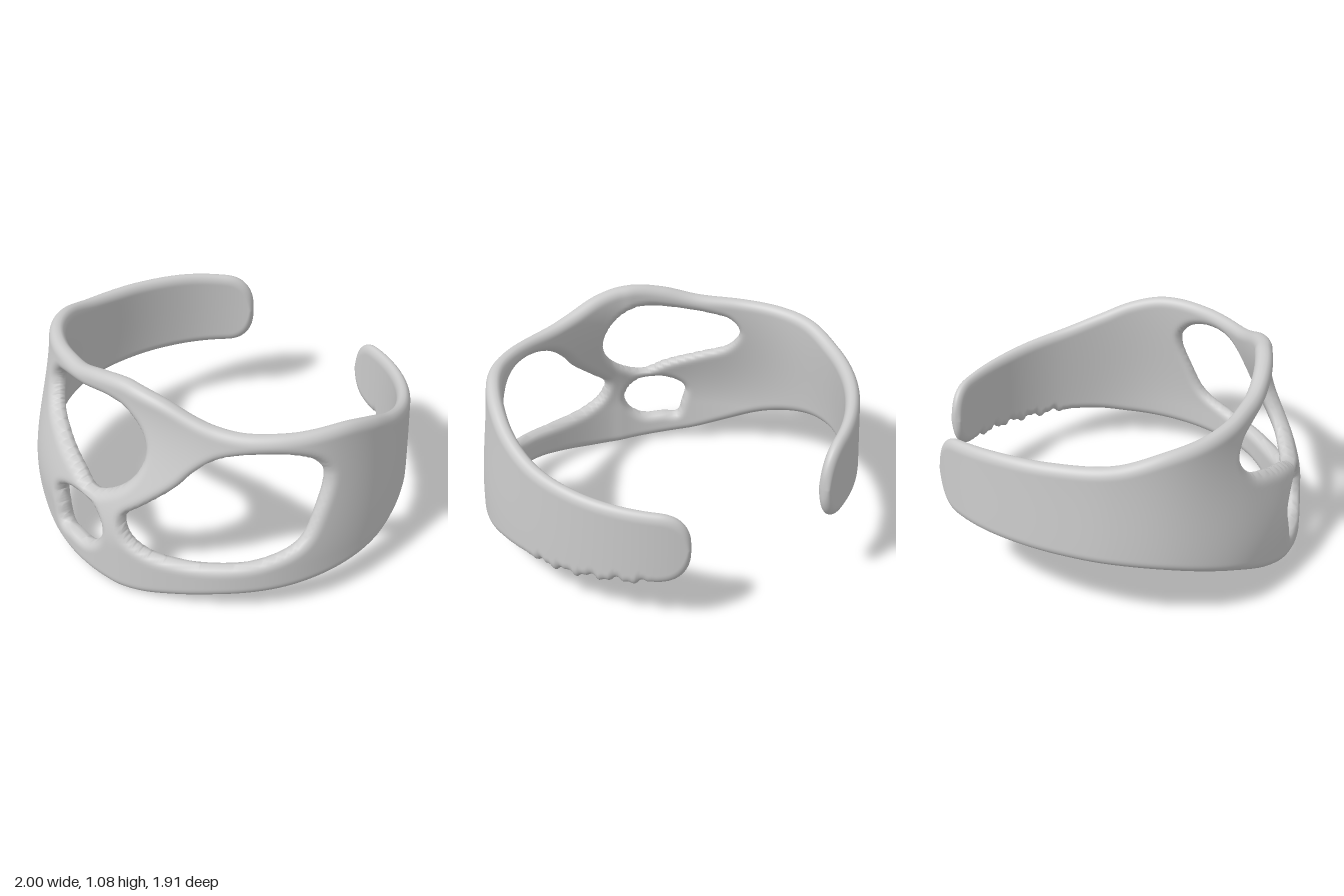
import * as THREE from 'three';
import { mergeVertices } from 'three/addons/utils/BufferGeometryUtils.js';

const RAD = Math.PI / 180;
const NU = 380, NV = 68;      // grid around the band and up the band
const A0 = -152, A1 = 166;    // tip angles in degrees, 0 is the front, + towards +x
const ARC = 0.95 * RAD;       // approximate arc length of one degree

// Smooth interpolation through [x, y] pairs
function curve(pts) {
  const n = pts.length;
  const slope = (i) => {
    const a = pts[Math.max(i - 1, 0)], b = pts[Math.min(i + 1, n - 1)];
    return (b[1] - a[1]) / (b[0] - a[0]);
  };
  return (x) => {
    let i = 0;
    while (i < n - 2 && x > pts[i + 1][0]) i++;
    const [x0, y0] = pts[i], [x1, y1] = pts[i + 1], w = x1 - x0;
    const t = THREE.MathUtils.clamp((x - x0) / w, 0, 1), t2 = t * t, t3 = t2 * t;
    return (2 * t3 - 3 * t2 + 1) * y0 + (t3 - 2 * t2 + t) * w * slope(i)
      + (3 * t2 - 2 * t3) * y1 + (t3 - t2) * w * slope(i + 1);
  };
}

// Outer radius, inward lean of the upper edge, and half thickness by angle
const radius = curve([[-152, 1.02], [-135, 1.0], [-120, 0.985], [-105, 0.985], [-90, 1.0], [-73, 1.01],
  [-57, 1.0], [-31, 0.96], [0, 0.95], [6, 0.955], [25, 0.957], [45, 0.985], [63, 1.0], [85, 1.003],
  [108, 0.987], [120, 0.985], [142, 0.985], [166, 0.99]]);
const lean = curve([[-152, 0], [-120, 0.02], [-90, 0.045], [-70, 0.07], [-50, 0.125], [-35, 0.16], [0, 0.19],
  [35, 0.16], [50, 0.12], [70, 0.065], [90, 0.04], [120, 0.01], [166, 0]]);
const half = curve([[-152, 0.033], [-90, 0.042], [0, 0.046], [90, 0.04], [166, 0.03]]);

// Upper and lower edges of the band
const upper = curve([[-152, 0.8], [-130, 0.85], [-110, 0.87], [-90, 0.89], [-75, 0.945], [-63, 0.965], [-46, 0.98],
  [-30, 1.0], [-15, 1.052], [0, 1.08], [15, 1.052], [30, 0.98], [37, 0.953], [46, 0.937], [60, 0.937], [78, 0.935],
  [90, 0.885], [101, 0.81], [114, 0.74], [128, 0.7], [143, 0.67], [166, 0.64]]);
const lower = curve([[-152, 0.4], [-120, 0.4], [-100, 0.39], [-85, 0.37], [-72, 0.33], [-55, 0.24], [-38, 0.12],
  [-25, 0.05], [0, 0], [12, 0.008], [25, 0.045], [39, 0.085], [60, 0.112], [90, 0.16], [101, 0.19], [114, 0.213],
  [128, 0.225], [143, 0.25], [166, 0.28]]);

// Edges with rounded tips and a slightly rough lower edge near the left tip
function edges(a) {
  let top = upper(a), bot = lower(a);
  const rough = THREE.MathUtils.smoothstep(a, 110, 120) * (1 - THREE.MathUtils.smoothstep(a, 150, 158));
  bot += rough * 0.012 * (Math.sin(a * 0.75) + 0.6 * Math.sin(a * 1.7 + 1));
  const t = Math.max(0, 1 - Math.min(a - A0, A1 - a) * ARC / 0.16);
  const pinch = Math.pow(Math.max(0, 1 - Math.pow(t, 2.5)), 0.4);
  const mid = (top + bot) / 2, h = (top - bot) / 2 * pinch;
  return [mid - h, mid + h];
}

// Openings as closed smooth outlines of [angle, height]
const holes = [
  [[-47, 0.78], [-44, 0.85], [-38, 0.88], [-22.5, 0.92], [-7.5, 0.95], [1.5, 0.93], [9, 0.85], [11.5, 0.75],
    [8, 0.62], [0, 0.52], [-8, 0.48], [-16, 0.53], [-30.5, 0.6], [-42, 0.67]],
  [[-24, 0.34], [-20.5, 0.39], [-12.4, 0.42], [-5, 0.4], [-1, 0.31], [-2.5, 0.23], [-8, 0.165], [-15.5, 0.165],
    [-21, 0.165], [-23, 0.25]],
  [[71, 0.7], [67, 0.5], [62, 0.36], [51, 0.285], [40, 0.26], [25, 0.25], [15, 0.27], [8.5, 0.33], [7, 0.42],
    [13, 0.5], [24, 0.63], [30, 0.72], [38, 0.8], [49, 0.84], [61, 0.83], [68, 0.78]],
].map((pts) => new THREE.CatmullRomCurve3(
  pts.map(([a, y]) => new THREE.Vector3(a * ARC, y, 0)), true).getPoints(72));

// Signed distance to an outline, positive outside it
function outlineDistance(poly, x, y) {
  let best = Infinity, inside = false;
  for (let i = 0; i < poly.length - 1; i++) {
    const p = poly[i], q = poly[i + 1], ex = q.x - p.x, ey = q.y - p.y;
    const t = THREE.MathUtils.clamp(((x - p.x) * ex + (y - p.y) * ey) / (ex * ex + ey * ey || 1), 0, 1);
    best = Math.min(best, Math.hypot(x - p.x - t * ex, y - p.y - t * ey));
    if ((p.y > y) !== (q.y > y) && x < p.x + (y - p.y) / ey * ex) inside = !inside;
  }
  return inside ? -best : best;
}

// Grid of band points: angle a, height y, distance d to the nearest edge
function makeGrid() {
  const grid = [];
  for (let i = 0; i <= NU; i++) {
    const w = 2 * i / NU - 1;
    const a = (A0 + A1) / 2 + (A1 - A0) / 2 * (1.2 * w - 0.2 * w ** 5);
    const [bot, top] = edges(a);
    const e0 = edges(Math.max(a - 0.2, A0)), e1 = edges(Math.min(a + 0.2, A1));
    const kb = Math.hypot(1, (e1[0] - e0[0]) / (0.4 * ARC));
    const kt = Math.hypot(1, (e1[1] - e0[1]) / (0.4 * ARC));
    const column = [];
    for (let j = 0; j <= NV; j++) {
      const v = 2 * j / NV - 1;
      const s = 0.5 + 0.5 * (1.2 * v - 0.2 * v ** 5);
      const y = bot + (top - bot) * s;
      let d = Math.max(0, Math.min((y - bot) / kb, (top - y) / kt));
      for (const h of holes) d = Math.min(d, outlineDistance(h, a * ARC, y));
      column.push({ a, y, d });
    }
    grid.push(column);
  }
  return grid;
}

// Keep the part of a triangle where d >= 0
function clip(tri) {
  const out = [];
  tri.forEach((p, i) => {
    const q = tri[(i + 1) % 3];
    if (p.d >= 0) out.push(p);
    if (p.d * q.d < 0) {
      const t = p.d / (p.d - q.d);
      out.push({ a: p.a + (q.a - p.a) * t, y: p.y + (q.y - p.y) * t, d: 0 });
    }
  });
  return out;
}

// Bend a band point into place; side is +1 outside, -1 inside; edges round off
function place({ a, y, d }, side) {
  const h = half(a), t = 1 - Math.min(d / 0.05, 1);
  const r = radius(a) - h - lean(a) * THREE.MathUtils.smoothstep(y, 0.25, 1)
    + side * h * Math.sqrt(1 - t * t);
  return [r * Math.sin(a * RAD), y, r * Math.cos(a * RAD)];
}

export function createModel() {
  const grid = makeGrid(), pos = [];
  for (let i = 0; i < NU; i++) {
    for (let j = 0; j < NV; j++) {
      const p = grid[i][j], q = grid[i + 1][j], r = grid[i + 1][j + 1], s = grid[i][j + 1];
      for (const tri of [[p, q, r], [p, r, s]]) {
        const poly = clip(tri);
        for (let k = 1; k < poly.length - 1; k++) {
          const [u, v, w] = [poly[0], poly[k], poly[k + 1]];
          pos.push(...place(u, 1), ...place(v, 1), ...place(w, 1));
          pos.push(...place(u, -1), ...place(w, -1), ...place(v, -1));
        }
      }
    }
  }
  let geometry = new THREE.BufferGeometry();
  geometry.setAttribute('position', new THREE.Float32BufferAttribute(pos, 3));
  geometry = mergeVertices(geometry, 1e-4);
  geometry.computeVertexNormals();

  const cuff = new THREE.Mesh(geometry, new THREE.MeshStandardMaterial({ color: 0xcccccc }));
  cuff.name = 'cuffBand';
  const model = new THREE.Group();
  model.name = 'openworkCuff';
  model.add(cuff);
  return model;
}
